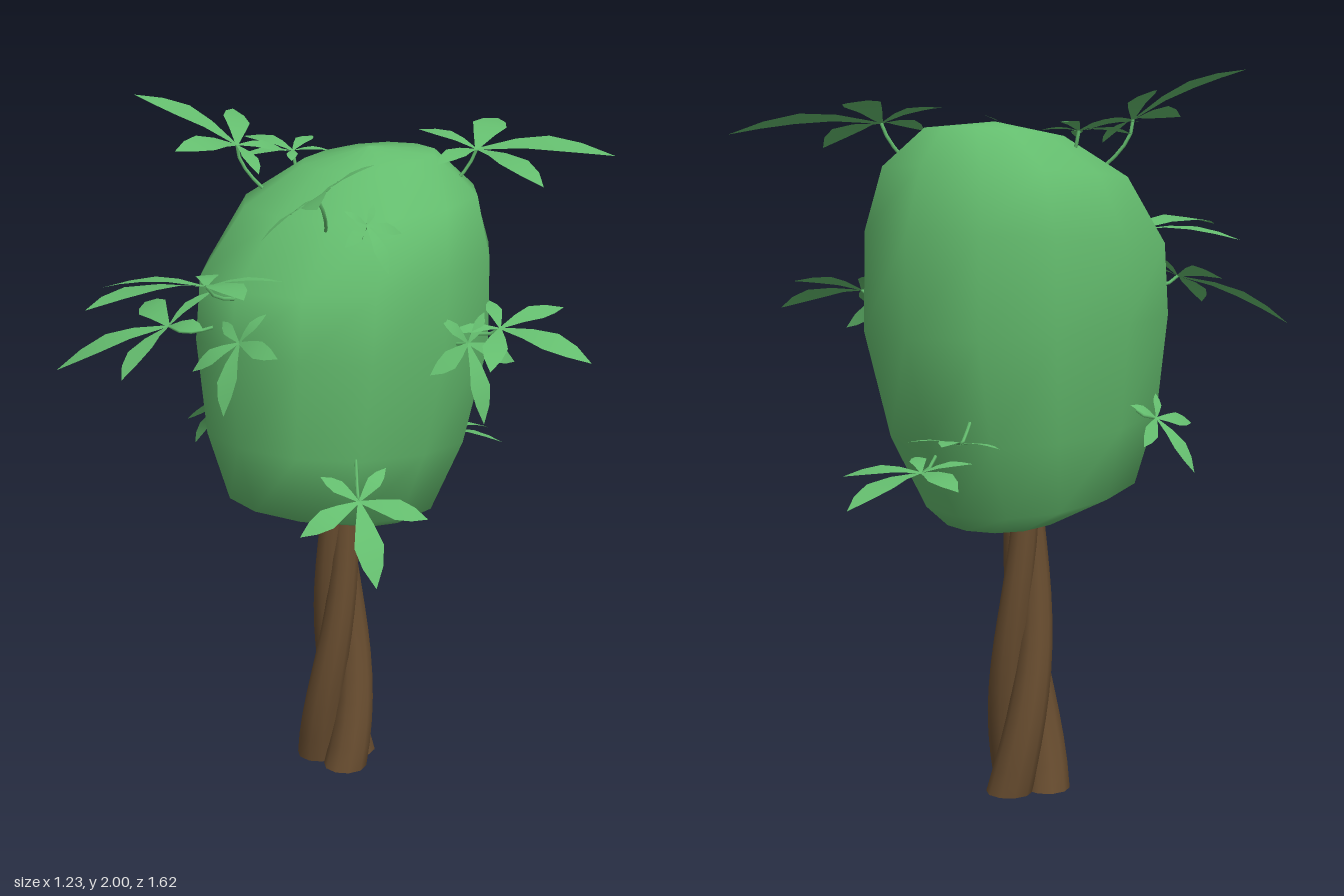
import * as THREE from 'three';

const foliage = new THREE.MeshStandardMaterial({ color: 0x64bd6e, side: THREE.DoubleSide });
foliage.name = 'leaf green';
const bark = new THREE.MeshStandardMaterial({ color: 0x674c2f });
bark.name = 'bark brown';

const V = (x, y, z) => new THREE.Vector3(x, y, z);

// Skin a stack of closed rings (bottom to top, equal point counts)
function loft(rings) {
  const n = rings[0].length, index = [];
  for (let i = 0; i < rings.length - 1; i++) {
    for (let j = 0; j < n; j++) {
      const a = i * n + j, b = i * n + (j + 1) % n;
      index.push(a, a + n, b, b, a + n, b + n);
    }
  }
  const g = new THREE.BufferGeometry().setFromPoints(rings.flat());
  g.setIndex(index);
  g.computeVertexNormals();
  return g;
}

function addMesh(parent, name, geometry, material) {
  const mesh = new THREE.Mesh(geometry, material);
  mesh.name = name;
  parent.add(mesh);
  return mesh;
}

// Rounded crown: each ring leans between a front and a back point
function crownGeometry() {
  // [front z, front y, back z, back y, half width]
  const rows = [
    [-0.18, 0.765, -0.18, 0.765, 0],
    [-0.02, 0.8, -0.34, 0.775, 0.16],
    [0.24, 0.89, -0.38, 0.82, 0.27],
    [0.3, 1.09, -0.49, 1.02, 0.335],
    [0.32, 1.36, -0.57, 1.31, 0.378],
    [0.3, 1.53, -0.565, 1.58, 0.375],
    [0.14, 1.71, -0.51, 1.75, 0.325],
    [-0.02, 1.82, -0.42, 1.85, 0.17],
    [-0.22, 1.865, -0.22, 1.865, 0],
  ];
  const soft = (v) => Math.sign(v) * Math.abs(v) ** 0.9;
  return loft(rows.map(([zf, yf, zb, yb, rx]) =>
    Array.from({ length: 12 }, (_, j) => {
      const a = (j / 12) * Math.PI * 2;
      const s = soft(Math.sin(a)), t = (1 + s) / 2;
      return V(-0.095 + rx * soft(Math.cos(a)), yb + (yf - yb) * t, zb + (zf - zb) * t);
    })));
}

// One strand of the twisted trunk, tapering upward, closed at the foot
function strandGeometry(startAngle) {
  const rings = [], steps = 12, top = 0.84;
  for (let i = 0; i <= steps; i++) {
    const t = i / steps;
    const a = startAngle - t * Math.PI;
    const off = 0.02 + 0.045 * (1 - t) ** 1.1;
    const r = 0.036 + 0.029 * (1 - t) ** 1.3;
    const c = V(-0.105 + off * Math.cos(a), 0.005 + t * top, -0.11 + off * Math.sin(a));
    const ring = Array.from({ length: 10 }, (_, j) => {
      const b = (j / 10) * Math.PI * 2;
      return V(c.x + r * Math.cos(b), c.y, c.z + r * Math.sin(b));
    });
    if (i === 0) rings.push(ring.map(() => c.clone()), ring.map((p) => p.clone()));
    rings.push(ring);
  }
  return loft(rings);
}

// Pointed leaf along +z, gently arched, facing +y
function leafGeometry(length) {
  const profile = [[0, 0.015], [0.3, 0.1], [0.55, 0.16], [0.78, 0.11], [1, 0.002]];
  const pts = [], index = [];
  profile.forEach(([t, w], i) => {
    const y = 0.07 * length * Math.sin(Math.PI * t);
    pts.push(V(-w * length, y, t * length), V(w * length, y, t * length));
    if (i) {
      const a = 2 * i - 2;
      index.push(a, a + 2, a + 1, a + 1, a + 2, a + 3);
    }
  });
  const g = new THREE.BufferGeometry().setFromPoints(pts);
  g.setIndex(index);
  g.computeVertexNormals();
  return g;
}

// Five-leaf sprig: hub position, vector to the main leaf tip, facing direction
function sprig(hub, main, facing) {
  const group = new THREE.Group();
  group.name = 'leafSprig';
  const h = V(...hub), m = V(...main), length = m.length();
  const zAxis = m.normalize();
  const xAxis = V(...facing).cross(zAxis).normalize();
  const yAxis = zAxis.clone().cross(xAxis);
  const fan = new THREE.Group();
  fan.name = 'leafFan';
  fan.position.copy(h);
  fan.quaternion.setFromRotationMatrix(new THREE.Matrix4().makeBasis(xAxis, yAxis, zAxis));
  for (const [deg, size] of [[0, 1], [66, 0.76], [-66, 0.76], [134, 0.5], [-134, 0.5]]) {
    const leaf = addMesh(fan, 'leaf', leafGeometry(length * size), foliage);
    leaf.rotation.y = THREE.MathUtils.degToRad(deg);
  }
  group.add(fan);

  // Short stem reaching into the crown
  const inward = V(-0.095, 1.35, -0.13).sub(h).normalize();
  const root = h.clone().addScaledVector(inward, 0.14);
  const bend = h.clone().addScaledVector(yAxis, -0.04).addScaledVector(inward, 0.02);
  const curve = new THREE.QuadraticBezierCurve3(root, bend, h);
  addMesh(group, 'stem', new THREE.TubeGeometry(curve, 4, 0.005, 5), foliage);
  return group;
}

export function createModel() {
  const tree = new THREE.Group();
  tree.name = 'tree';

  addMesh(tree, 'crown', crownGeometry(), foliage);

  const trunk = new THREE.Group();
  trunk.name = 'trunk';
  for (const deg of [30, 150, 270]) {
    addMesh(trunk, 'trunkStrand', strandGeometry(THREE.MathUtils.degToRad(deg)), bark);
  }
  // Small foot so the trunk meets the ground
  const foot = addMesh(trunk, 'trunkFoot', new THREE.CylinderGeometry(0.05, 0.05, 0.02, 10), bark);
  foot.position.set(-0.105, 0.01, -0.11);
  tree.add(trunk);

  const sprigs = [
    // around the top
    [[0.14, 1.86, -0.41], [0.24, -0.03, -0.325], [0.25, 1, 0]],
    [[-0.35, 1.87, 0.05], [-0.26, 0.13, 0.15], [0.45, 0.88, -0.1]],
    [[-0.305, 1.84, -0.125], [-0.205, 0.02, 0], [-0.1, 1, 0.1]],
    [[0.11, 1.79, 0.19], [0.175, 0.02, 0.18], [-0.54, 1, 0.4]],
    [[0.19, 1.72, 0.09], [0.08, -0.12, 0], [0.8, 0.55, 0.1]],
    // front
    [[-0.1, 1.56, 0.4], [0, 0.005, 0.405], [-0.1, 1, 0]],
    [[-0.245, 1.43, 0.41], [-0.255, -0.135, 0.19], [-0.17, 0.9, 0.41]],
    [[-0.03, 1.41, 0.35], [0.065, -0.165, 0.12], [0, 0.5, 0.85]],
    // sides
    [[0.34, 1.4, -0.29], [0.275, -0.06, -0.055], [0.17, 1, 0.25]],
    [[0.31, 1.37, -0.19], [0.08, -0.21, 0.02], [0.93, 0.37, 0.1]],
    [[0.275, 1, 0.205], [0.145, -0.185, 0.085], [0.45, 0.8, 0.4]],
    [[-0.475, 1.08, 0], [-0.105, -0.14, 0.03], [-0.85, 0.5, 0]],
    // back
    [[-0.11, 0.96, -0.53], [-0.01, -0.06, -0.28], [0, 1, -0.2]],
    [[-0.26, 1.05, -0.55], [-0.08, 0.02, -0.15], [-0.2, 0.9, -0.3]],
  ];
  for (const s of sprigs) tree.add(sprig(...s));

  return tree;
}
